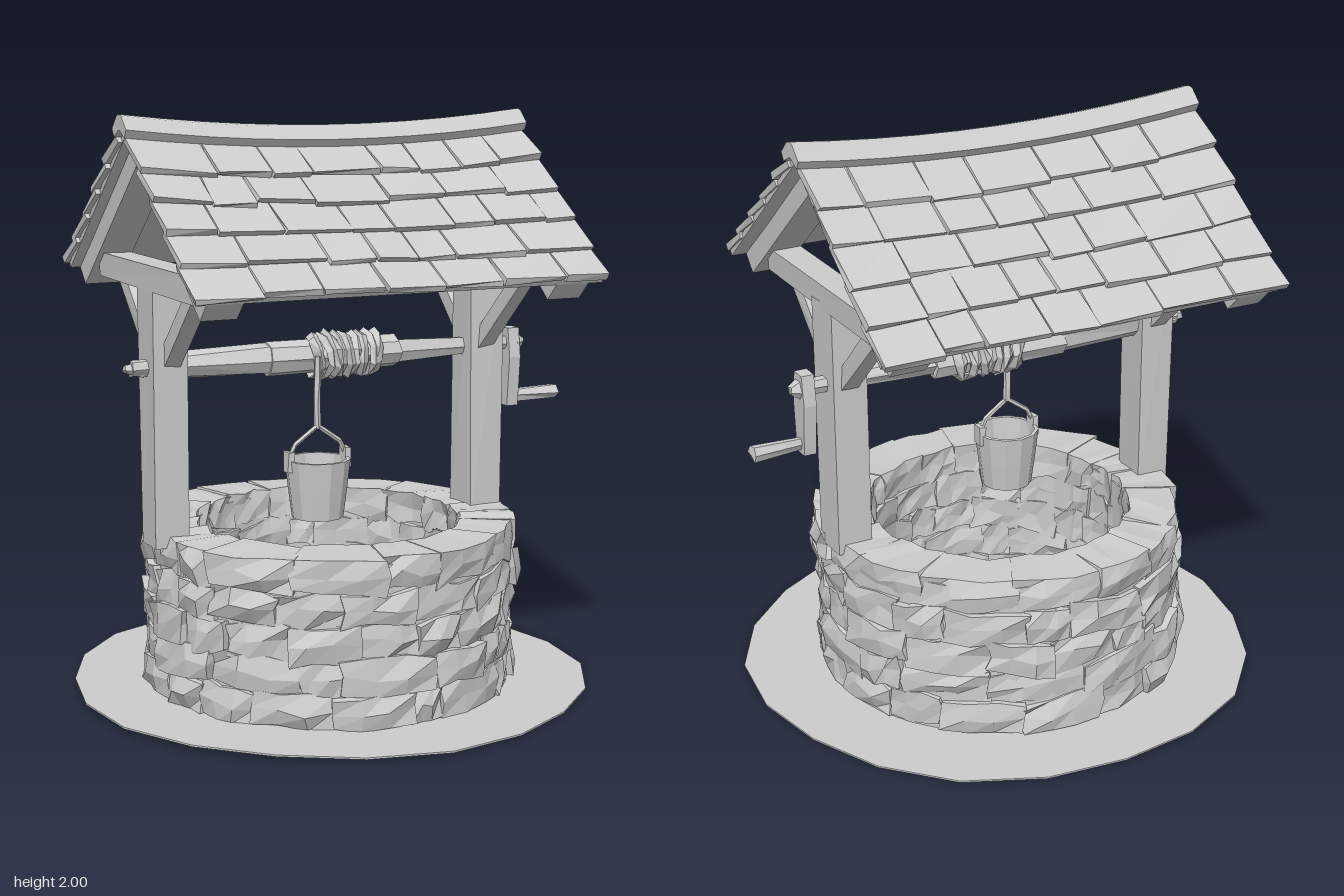
import * as THREE from 'three';
import { mergeGeometries, mergeVertices } from 'three/addons/utils/BufferGeometryUtils.js';

let seed = 7;
const rnd = () => {
  seed = (seed * 16807) % 2147483647;
  return seed / 2147483647;
};
const vary = (a) => (rnd() * 2 - 1) * a;

export function createModel() {
  seed = 7;
  const model = new THREE.Group();
  const grey = new THREE.MeshStandardMaterial({ color: 0xcccccc, flatShading: true, side: THREE.DoubleSide });
  grey.name = 'plain grey';

  const add = (name, geos) => {
    const list = [geos].flat().map((g) => {
      const n = g.index ? g.toNonIndexed() : g;
      n.deleteAttribute('uv');
      n.computeVertexNormals();
      return n;
    });
    const mesh = new THREE.Mesh(mergeGeometries(list), grey);
    mesh.name = name;
    model.add(mesh);
  };

  // Move each shared vertex by a rule
  const warp = (geo, rule) => {
    geo.deleteAttribute('normal');
    geo.deleteAttribute('uv');
    const g = mergeVertices(geo);
    const p = g.attributes.position;
    const v = new THREE.Vector3();
    for (let i = 0; i < p.count; i++) {
      v.fromBufferAttribute(p, i);
      rule(v);
      p.setXYZ(i, v.x, v.y, v.z);
    }
    return g;
  };
  const rough = (geo, a) => warp(geo, (v) => v.set(v.x + vary(a), v.y + vary(a), v.z + vary(a)));
  const box = (w, h, d, x, y, z, a = 0.006) => rough(new THREE.BoxGeometry(w, h, d), a).translate(x, y, z);

  // Beam between two (z, y) points
  const beam = (x, w, h, z0, y0, z1, y1) =>
    rough(new THREE.BoxGeometry(w, h, Math.hypot(z1 - z0, y1 - y0)), 0.005)
      .rotateX(-Math.atan2(y1 - y0, z1 - z0))
      .translate(x, (y0 + y1) / 2, (z0 + z1) / 2);

  // Rod along x from x0 to x1
  const rod = (x0, x1, r0, r1, sides, y = 1.16) =>
    rough(new THREE.CylinderGeometry(r1, r0, x1 - x0, sides), 0.005)
      .rotateZ(-Math.PI / 2)
      .translate((x0 + x1) / 2, y, 0);

  // Mirrored (z, y) half profile extruded along x
  const gable = (outer, inner, x0, x1, steps = 1) => {
    const flip = ([a, b]) => [-a, b];
    const pts = [...outer, ...[...inner].reverse(), ...inner.slice(1).map(flip), ...[...outer].reverse().slice(0, -1).map(flip)];
    const shape = new THREE.Shape(pts.map(([a, b]) => new THREE.Vector2(a, b)));
    return new THREE.ExtrudeGeometry(shape, { depth: x1 - x0, steps, bevelEnabled: false })
      .rotateY(Math.PI / 2)
      .translate(x0, 0, 0);
  };
  const sag = (v) => {
    v.y -= 0.045 * Math.max(0, 1 - (v.x / 0.75) ** 2) * THREE.MathUtils.clamp((v.y - 1.45) / 0.5, 0, 1);
  };

  // Ground disc with an uneven edge
  add('ground', warp(new THREE.CylinderGeometry(0.912, 0.912, 0.006, 20), (v) => {
    const k = Math.hypot(v.x, v.z) > 0.1 ? 1 + 0.012 * Math.sin(Math.atan2(v.z, v.x) * 5) : 1;
    v.set(v.x * k, v.y + 0.014 - v.x * 0.0115, v.z * k);
  }));

  // Well wall: mortar core and five courses of rough stones
  const ring = [[0.47, 0.01], [0.63, 0.01], [0.63, 0.565], [0.47, 0.565], [0.47, 0.01]];
  add('wallCore', new THREE.LatheGeometry(ring.map(([r, y]) => new THREE.Vector2(r, y)), 32));
  const stones = [];
  const courses = 5;
  const h = 0.57 / courses;
  for (let c = 0; c < courses; c++) {
    const widths = Array.from({ length: 17 }, () => 0.6 + rnd());
    const total = widths.reduce((a, b) => a + b);
    let a0 = c * 1.3;
    for (const w of widths) {
      const span = (w / total) * Math.PI * 2;
      const mid = a0 + span / 2;
      const bulge = vary(0.014);
      const tilt = vary(0.07);
      const low = c === 0 ? 0.01 : 0.014;
      stones.push(warp(new THREE.BoxGeometry(1, 1, 1, 3, 2, 1), (v) => {
        const a = mid + v.x * (span + 0.01) + vary(0.02);
        const edge = Math.abs(v.y) > 0.4 || Math.abs(v.x) > 0.4;
        const r = v.z > 0 ? 0.657 + bulge - (edge ? 0.012 : 0) + vary(0.014) : 0.462 + vary(0.014);
        const jitter = c === courses - 1 && v.y > 0.4 ? 0.007 : low;
        const lean = c === courses - 1 && v.y > 0.4 ? 0 : v.x * tilt * 0.5;
        const y = 0.02 + h * (c + 0.5) + v.y * h + lean + vary(jitter);
        v.set(Math.sin(a) * r - 0.005, Math.max(0.015, y), Math.cos(a) * r);
      }));
      a0 += span;
    }
  }
  add('wallStones', stones);

  // Timber frame at each end: post, tie beam, braces and rafters
  for (const [side, x] of [['right', -0.615], ['left', 0.587]]) {
    const out = Math.sign(x) * 0.022;
    add(side + 'Post', box(0.125, 0.9, 0.145, x, 1.0, 0.003));
    add(side + 'TieBeam', box(0.1, 0.085, 0.9, x + out * 0.6, 1.465, 0, 0.003));
    add(side + 'Braces', [-1, 1].map((s) => beam(x, 0.058, 0.062, s * 0.04, 1.175, s * 0.33, 1.445)));
    add(side + 'Rafters', gable(
      [[0, 1.93], [0.6, 1.44]], [[0, 1.83], [0.545, 1.385]], x + out - 0.062, x + out + 0.062));
  }

  // Roof boards, sagging at the middle of the ridge
  add('roofBoards', warp(gable([[0, 1.955], [0.61, 1.457]], [[0, 1.93], [0.6, 1.44]], -0.735, 0.725, 10), sag));

  // Shingles: five overlapping rows on each slope
  const slope = Math.atan2(0.49, 0.6);
  const sn = Math.sin(slope);
  const cs = Math.cos(slope);
  for (const back of [false, true]) {
    const shingles = [];
    for (let row = 0; row < 5; row++) {
      const end = 0.79 - row * 0.146;
      let x = -0.755;
      while (x < 0.735) {
        let w = 0.13 + rnd() * 0.15;
        if (0.735 - x - w < 0.08) w = 0.735 - x;
        const x0 = x + w / 2;
        const drop = vary(0.012);
        const lift = rnd() * 0.008;
        const g = warp(new THREE.BoxGeometry(1, 1, 1), (v) => {
          const d = end - 0.085 + v.z * 0.17 + (v.z > 0 ? drop + vary(0.006) : 0);
          const n = 0.026 + v.z * 0.022 + v.y * 0.022 + (v.z > 0 ? lift + vary(0.004) : 0);
          v.set(x0 + v.x * (w - 0.006) + vary(0.004), 1.93 - d * sn + n * cs, d * cs + n * sn);
          sag(v);
        });
        shingles.push(back ? g.rotateY(Math.PI).translate(-0.02, 0, 0) : g);
        x += w;
      }
    }
    add(back ? 'backShingles' : 'frontShingles', shingles);
  }

  // Ridge cap
  add('ridgeCap', warp(gable(
    [[0, 2.0], [0.022, 1.995], [0.068, 1.952]], [[0, 1.95], [0.052, 1.925]], -0.757, 0.742, 10), sag));

  // Windlass: axle, drum and end peg
  add('axle', [
    rod(-0.73, -0.55, 0.03, 0.035, 6),
    rod(-0.56, -0.23, 0.046, 0.056, 7),
    rod(0.24, 0.73, 0.042, 0.022, 6),
  ]);
  add('drum', rod(-0.24, 0.255, 0.064, 0.058, 8));
  add('axlePeg', rod(-0.75, -0.69, 0.018, 0.028, 5));

  // Rope wound untidily round the drum
  const coils = [];
  for (let i = 0; i < 9; i++) {
    coils.push(rough(new THREE.TorusGeometry(0.066 + rnd() * 0.008, 0.017, 4, 9), 0.007)
      .rotateY(Math.PI / 2 + vary(0.22))
      .rotateZ(vary(0.2))
      .translate(-0.06 + i * 0.028, 1.16, 0));
  }
  add('ropeCoil', coils);

  // Crank arm and handle
  const arm = [[-0.03, 0.93], [0.03, 0.93], [0.045, 1.11], [0.03, 1.215], [-0.03, 1.215], [-0.045, 1.11]];
  add('crankArm', new THREE.ExtrudeGeometry(
    new THREE.Shape(arm.map(([a, b]) => new THREE.Vector2(a, b))), { depth: 0.045, bevelEnabled: false })
    .rotateY(Math.PI / 2).translate(0.7, 0, 0));
  add('crankHub', rod(0.735, 0.775, 0.04, 0.015, 6));
  add('crankHandle', rod(0.735, 0.917, 0.02, 0.026, 6, 0.963));

  // Hanging rope and bucket
  const bx = -0.083;
  const bz = 0.08;
  add('rope', rough(new THREE.CylinderGeometry(0.013, 0.012, 0.25, 5, 3), 0.003).translate(bx, 1.045, bz));
  const pail = [[0, 0.61], [0.09, 0.61], [0.103, 0.71], [0.115, 0.815], [0.101, 0.815], [0.08, 0.635], [0, 0.635]];
  add('bucket', new THREE.LatheGeometry(pail.map(([r, y]) => new THREE.Vector2(r, y)), 12).translate(bx, 0, bz));
  add('bucketEars', [-1, 1].map((s) => box(0.022, 0.07, 0.045, bx + s * 0.108, 0.812, bz, 0.003)));
  const bail = new THREE.CurvePath();
  const bend = [[-0.107, 0.825], [-0.085, 0.87], [0, 0.93], [0.085, 0.87], [0.107, 0.825]]
    .map(([x, y]) => new THREE.Vector3(bx + x, y, bz));
  for (let i = 0; i < bend.length - 1; i++) bail.add(new THREE.LineCurve3(bend[i], bend[i + 1]));
  add('bucketHandle', new THREE.TubeGeometry(bail, 12, 0.009, 5));

  return model;
}
